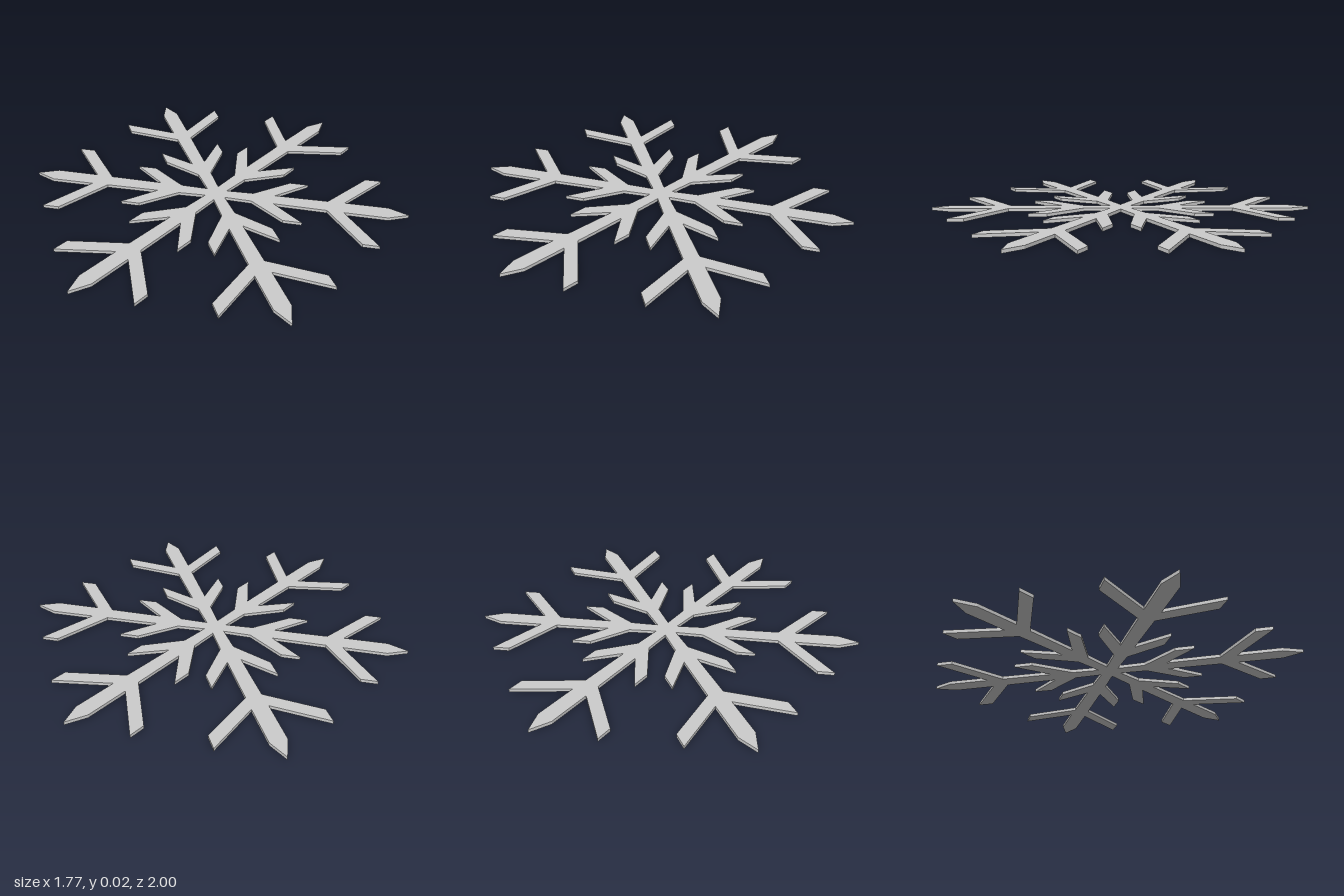
import * as THREE from 'three';

const THICKNESS = 0.017;

// Right half of one arm, from the inner notch out to the tip: [across, along]
const HALF_ARM = [
  [0.03, 0.052],
  [0.035, 0.195], [0.168, 0.375], [0.168, 0.472], [0.036, 0.31], // small inner branch
  [0.04, 0.588], [0.28, 0.775], [0.28, 0.858], [0.042, 0.673],   // large outer branch
  [0.043, 0.897],                                                // shoulder of the point
];

export function createModel() {
  const group = new THREE.Group();
  group.name = 'snowflake';

  // Full arm outline, counter-clockwise: right side, tip, mirrored left side.
  // The left notch point is dropped since the next arm starts there.
  const arm = [
    ...HALF_ARM,
    [0, 1],
    ...HALF_ARM.slice(1).reverse().map(([x, y]) => [-x, y]),
  ];

  // Six arms around the centre
  const outline = [];
  for (let i = 0; i < 6; i++) {
    const turn = (i * Math.PI) / 3;
    for (const [x, y] of arm) {
      outline.push(new THREE.Vector2(x, y).rotateAround(new THREE.Vector2(), turn));
    }
  }

  // Flat plate lying on the ground
  const geometry = new THREE.ExtrudeGeometry(new THREE.Shape(outline), {
    depth: THICKNESS,
    bevelEnabled: false,
  });
  geometry.rotateX(-Math.PI / 2);

  const plate = new THREE.Mesh(
    geometry,
    new THREE.MeshStandardMaterial({ color: 0xcccccc, flatShading: true })
  );
  plate.name = 'snowflakePlate';
  group.add(plate);
  return group;
}
